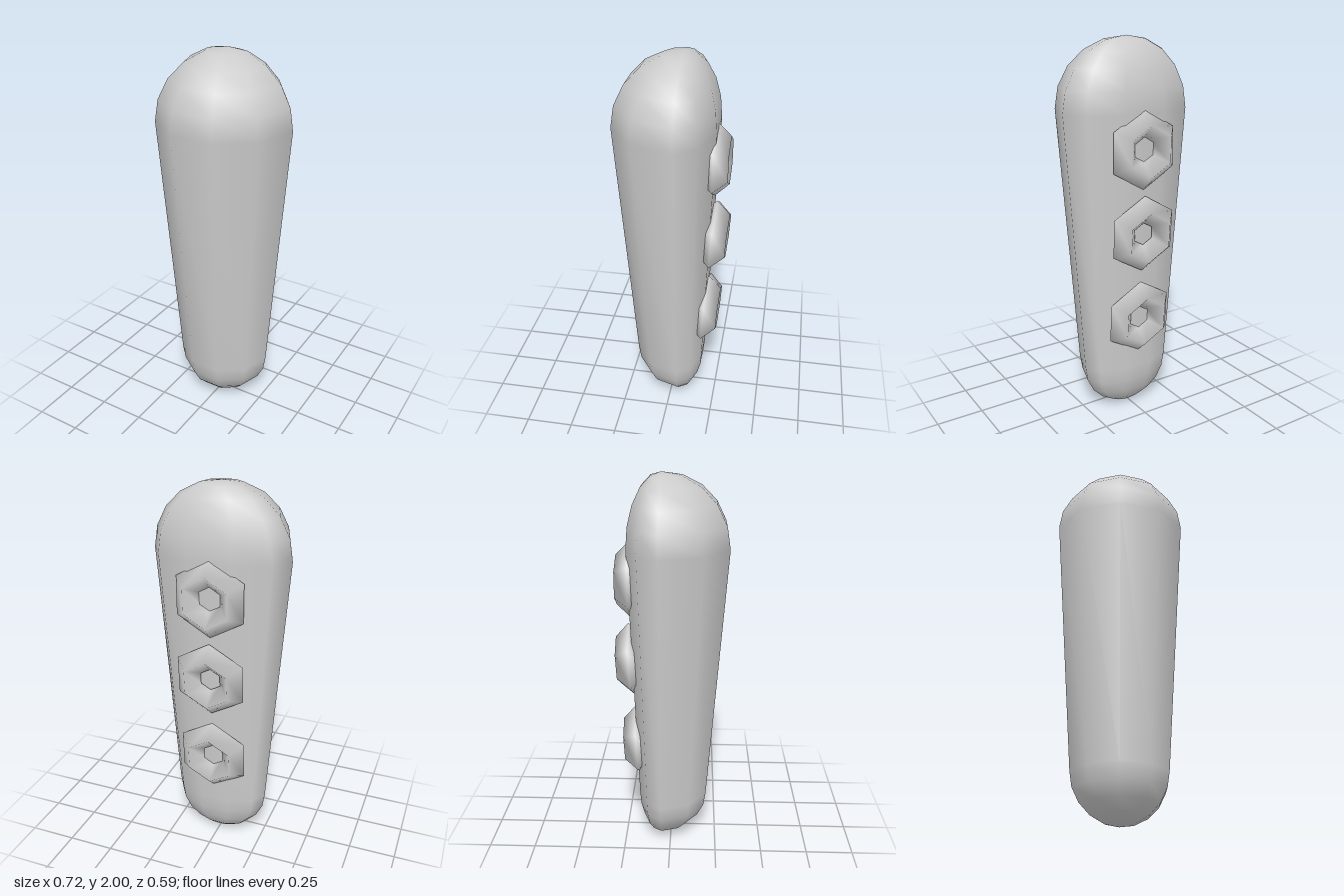
import * as THREE from 'three';
import { mergeVertices } from 'three/addons/utils/BufferGeometryUtils.js';

const material = new THREE.MeshStandardMaterial({ color: 0xcccccc });

// Tapered capsule: two round caps joined by a straight ten-sided wall
function taperedCapsule(rBottom, rTop, height, steps, sides) {
  const profile = [];
  const addCap = (r, yCentre, from) => {
    for (let i = 0; i <= steps; i++) {
      const a = from + (i / steps) * Math.PI / 2;
      profile.push(new THREE.Vector2(Math.max(0, r * Math.cos(a)), yCentre + r * Math.sin(a)));
    }
  };
  addCap(rBottom, rBottom, -Math.PI / 2);
  addCap(rTop, height - rTop, 0);
  return new THREE.LatheGeometry(profile, sides, Math.PI / 2);
}

function createBody() {
  let geometry = taperedCapsule(0.257, 0.361, 2, 5, 10);
  // Flatten the back half and shift the widest line backwards
  const p = geometry.attributes.position;
  for (let i = 0; i < p.count; i++) {
    const z = p.getZ(i);
    p.setZ(i, (z < 0 ? z * 0.5 : z) - 0.05);
  }
  // Weld the seam for smooth shading all round
  geometry.deleteAttribute('uv');
  geometry.deleteAttribute('normal');
  geometry = mergeVertices(geometry, 1e-4);
  geometry.computeVertexNormals();
  const body = new THREE.Mesh(geometry, material);
  body.name = 'body';
  return body;
}

export function createModel() {
  const model = new THREE.Group();
  model.name = 'ringedCapsule';
  model.add(createBody());

  // Hexagonal rings half sunk into the back: [y, z, tilt]
  const ringGeometry = new THREE.TorusGeometry(0.131, 0.072, 4, 6).rotateZ(Math.PI / 6);
  [[1.46, -0.212, 0], [1.025, -0.214, -0.06], [0.552, -0.181, -0.06]].forEach(([y, z, tilt], i) => {
    const ring = new THREE.Mesh(ringGeometry, material);
    ring.name = ['upperRing', 'middleRing', 'lowerRing'][i];
    ring.position.set(0, y, z);
    ring.rotation.x = tilt;
    model.add(ring);
  });
  return model;
}
